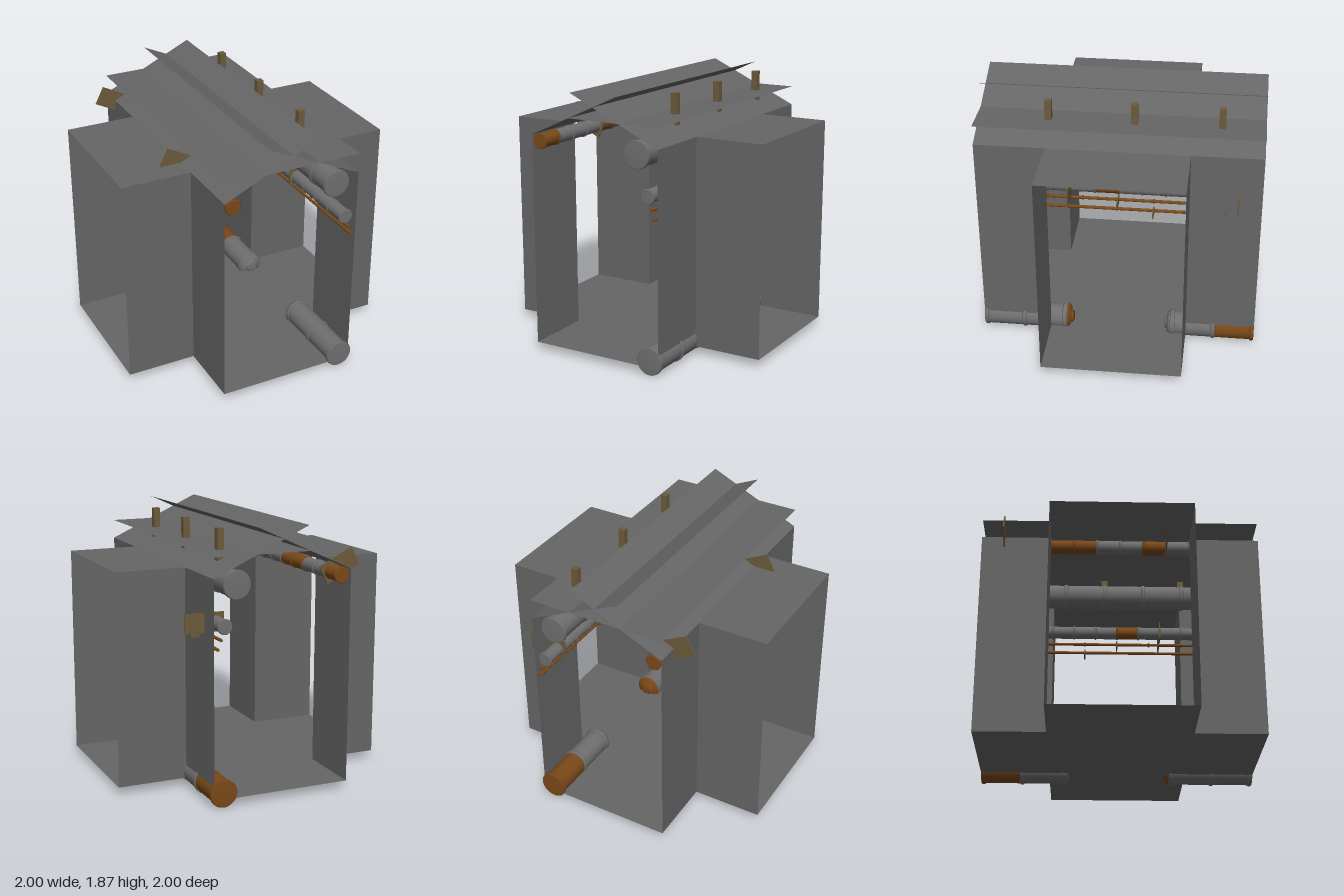
import * as THREE from 'three';

const material = (name, color, side = THREE.FrontSide) => {
  const m = new THREE.MeshStandardMaterial({ color, side });
  m.name = name;
  return m;
};

export function createModel() {
  const group = new THREE.Group();
  group.name = 'corridorJunction';
  const wall = material('concrete grey', 0x666666, THREE.DoubleSide);
  const steel = material('pipe grey', 0x6f6f6f);
  const rust = material('rust brown', 0x7a4818);
  const bracket = material('bracket brown', 0x6c5b3b);

  const add = (name, geometry, mat, x, y, z) => {
    const mesh = new THREE.Mesh(geometry, mat);
    mesh.name = name;
    mesh.position.set(x, y, z);
    group.add(mesh);
    return mesh;
  };
  // Horizontal sheet, tilted about z by an angle
  const sheet = (name, w, d, x, y, z, tilt = 0) => {
    const g = new THREE.PlaneGeometry(w, d).rotateX(-Math.PI / 2).rotateZ(tilt);
    return add(name, g, wall, x, y, z);
  };
  // Cylinder lying along z between two positions
  const rod = (name, mat, r, x, y, z0, z1) =>
    add(name, new THREE.CylinderGeometry(r, r, z1 - z0, 32).rotateX(Math.PI / 2), mat, x, y, (z0 + z1) / 2);
  // Rounded collar around a pipe
  const collar = (name, mat, r, x, y, z, w = 0.03) => {
    const h = w / 2, b = 0.006;
    const pts = [[0, -h], [r - b, -h], [r, -h + b], [r, h - b], [r - b, h], [0, h]]
      .map(([a, c]) => new THREE.Vector2(a, c));
    const g = new THREE.LatheGeometry(pts, 32).rotateX(Math.PI / 2);
    return add(name, g, mat, x, y, z);
  };

  // Floor in a cross shape
  const floorY = 0.06, topY = 1.56;
  sheet('floor', 1, 2, 0, floorY, 0);
  for (const s of [-1, 1]) {
    sheet('armFloor', 0.5, 1, s * 0.75, floorY, 0);
    sheet('armCeiling', 0.5, 1, s * 0.75, topY, 0);
  }

  // Corner walls
  const midY = (floorY + topY) / 2, height = topY - floorY;
  for (const sx of [-1, 1]) for (const sz of [-1, 1]) {
    add('armWall', new THREE.PlaneGeometry(0.5, height), wall, sx * 0.75, midY, sz * 0.5);
    add('hallWall', new THREE.PlaneGeometry(0.5, height).rotateY(Math.PI / 2), wall, sx * 0.5, midY, sz * 0.75);
  }

  // Flat ceiling and the two sloping sheets that cross above it
  sheet('flatCeiling', 1, 2, 0, 1.7, 0);
  const run = 0.68, rise = 0.312;
  for (const s of [-1, 1]) {
    sheet('slopedCeiling', Math.hypot(run, rise), 2, s * 0.16, topY + rise / 2, 0, -s * Math.atan2(rise, run));
  }

  // Large ceiling pipe with hangers
  rod('ceilingPipe', steel, 0.09, 0.335, 1.51, -0.995, 0.995);
  for (const z of [0.985, 0.8, 0.5, 0.2, -0.1, -0.4, -0.7, -0.985]) {
    collar('ceilingPipeCollar', steel, 0.098, 0.335, 1.51, z);
  }
  for (const z of [0.495, -0.1, -0.7]) {
    add('pipeHanger', new THREE.BoxGeometry(0.047, 0.265, 0.047), bracket, 0.333, 1.7125, z);
  }

  // Medium pipes made of short sections; rust marks the brown ones
  const sectionPipe = (name, x, y, r, rusty) => {
    for (let i = 0; i < 12; i++) {
      const z = -1 + i / 6;
      const mat = rusty.includes(i) ? rust : steel;
      rod(name + 'Section', mat, r, x, y, z, z + 1 / 6);
      collar(name + 'Collar', mat, r + 0.006, x, y, Math.max(z, -0.99), 0.018);
    }
    collar(name + 'Collar', rusty.includes(11) ? rust : steel, r + 0.006, x, y, 0.99, 0.018);
  };
  sectionPipe('wallPipe', 0.42, 1.24, 0.047, [6]);
  sectionPipe('oppositePipe', -0.435, 1.52, 0.05, [0, 3, 4, 7, 11]);

  // Thin pipes with couplings
  for (const [x, y] of [[0.45, 1.155], [0.472, 1.093]]) rod('thinPipe', rust, 0.011, x, y, -1, 1);
  for (const z of [-0.75, -0.5, -0.25, 0, 0.25, 0.5, 0.75]) {
    collar('thinPipeCoupling', rust, 0.016, 0.45, 1.155, z, 0.02);
  }
  collar('thinPipeCoupling', rust, 0.016, 0.472, 1.093, -0.25, 0.02);

  // Bracket plates set through the walls
  const plate = (w, h, x, y, z, tilt = 0) => {
    add('bracketPlate', new THREE.BoxGeometry(w, h, 0.009), bracket, x, y, z).rotation.z = tilt;
  };
  for (const z of [0.333, -0.837]) {
    plate(0.28, 0.133, 0.5, 1.245, z);
    plate(0.276, 0.14, -0.5, 1.558, z, -0.475);
  }
  for (const z of [0, -0.75]) plate(0.135, 0.05, 0.495, 1.155, z);
  plate(0.09, 0.045, 0.5, 1.093, -0.25);

  // Floor pipes at both ends, each closed by a stepped cap
  const px = 0.428, py = 0.1;
  for (const s of [1, -1]) {
    const endMat = s < 0 ? rust : steel;
    const capMat = s > 0 ? rust : steel;
    const span = (a, b) => [Math.min(s * a, s * b), Math.max(s * a, s * b)];
    rod('floorPipe', endMat, 0.09, px, py, ...span(0.7, 0.995));
    rod('floorPipe', steel, 0.09, px, py, ...span(0.4, 0.7));
    collar('floorPipeCollar', endMat, 0.098, px, py, s * 0.985);
    collar('floorPipeCollar', steel, 0.098, px, py, s * 0.7);
    collar('floorPipeCollar', steel, 0.098, px, py, s * 0.4, 0.036);
    const profile = [[0.092, 0], [0.09, 0.012], [0.078, 0.026], [0.045, 0.03], [0.045, 0.044], [0.036, 0.05], [0, 0.05]]
      .map(([r, h]) => new THREE.Vector2(r, h));
    const cap = new THREE.LatheGeometry(profile, 32).rotateX(s > 0 ? -Math.PI / 2 : Math.PI / 2);
    add('floorPipeCap', cap, capMat, px, py, s * 0.388);
  }
  return group;
}
